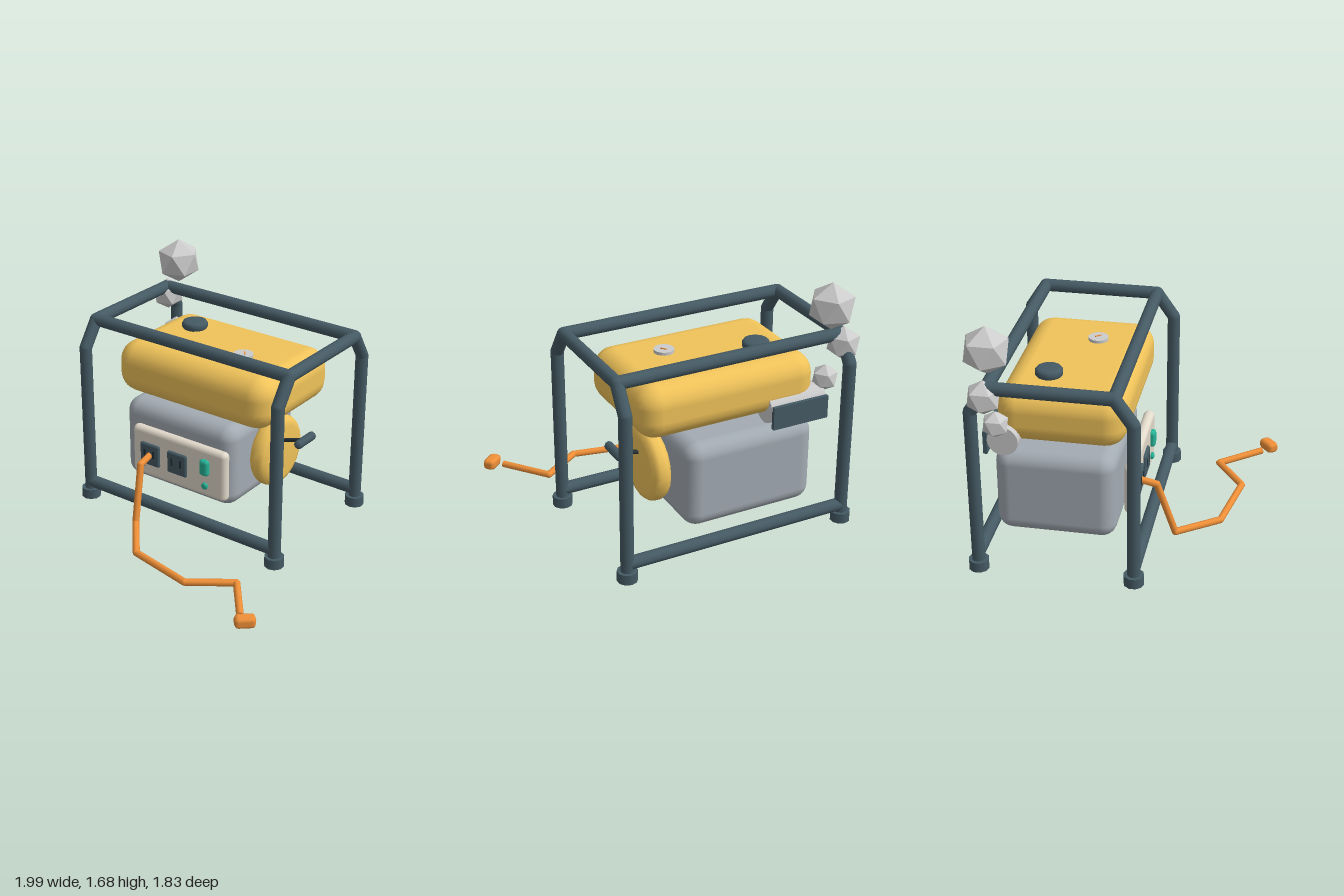
import * as THREE from 'three';
import { RoundedBoxGeometry } from 'three/addons/geometries/RoundedBoxGeometry.js';

const mat = (color, extra = {}) => new THREE.MeshStandardMaterial({ color, ...extra });
const M = {
  frame: mat(0x455a64),
  dark: mat(0x263238),
  yellow: mat(0xf0c35a),
  engine: mat(0xa3abb3),
  metal: mat(0xcccccc),
  panel: mat(0xe2dacb),
  green: mat(0x26b598),
  orange: mat(0xf09038),
  smoke: mat(0xbdbdbd, { flatShading: true }),
};

function add(parent, name, geometry, material, x = 0, y = 0, z = 0) {
  const mesh = new THREE.Mesh(geometry, material);
  mesh.name = name;
  mesh.position.set(x, y, z);
  parent.add(mesh);
  return mesh;
}

function group(parent, name) {
  const g = new THREE.Group();
  g.name = name;
  parent.add(g);
  return g;
}

// Straight pipe runs through the points, with a ball at each inner bend
function pipe(parent, name, points, radius, material, sides = 12) {
  const g = group(parent, name);
  const pts = points.map((p) => new THREE.Vector3(...p));
  for (let i = 0; i < pts.length - 1; i++) {
    const dir = pts[i + 1].clone().sub(pts[i]);
    const mid = pts[i].clone().add(pts[i + 1]).multiplyScalar(0.5);
    const run = add(g, name + 'Run', new THREE.CylinderGeometry(radius, radius, dir.length(), sides), material, mid.x, mid.y, mid.z);
    run.quaternion.setFromUnitVectors(new THREE.Vector3(0, 1, 0), dir.normalize());
    if (i > 0) add(g, name + 'Bend', new THREE.SphereGeometry(radius, sides, 8), material, pts[i].x, pts[i].y, pts[i].z);
  }
  return g;
}

// Disc with softened rims, turned around y
function softDisc(radius, height, bevel, sides) {
  const h = height / 2;
  const half = [
    [radius - bevel * 1.4, h],
    [radius - bevel * 0.45, h - bevel * 0.35],
    [radius, h - bevel],
  ];
  const profile = [
    [0, -h],
    ...half.map(([r, y]) => [r, -y]),
    ...half.slice().reverse(),
    [0, h],
  ].map(([r, y]) => new THREE.Vector2(r, y));
  return new THREE.LatheGeometry(profile, sides);
}

export function createModel() {
  const model = new THREE.Group();
  model.name = 'portableGenerator';

  // Tubular frame: two side hoops, joined by four cross bars, on four feet
  const frame = group(model, 'frame');
  const xs = [-0.89, 0.68];
  const zFront = 0.164, zBack = -0.849, R = 0.043;
  for (const x of xs) {
    pipe(frame, 'sideHoop', [
      [x, 0.02, zFront], [x, 1.145, zFront], [x, 1.315, 0.046],
      [x, 1.315, -0.74], [x, 1.145, zBack], [x, 0.02, zBack],
    ], R, M.frame);
    for (const z of [zFront, zBack]) {
      add(frame, 'foot', new THREE.CylinderGeometry(0.067, 0.067, 0.07, 10), M.frame, x, 0.035, z);
    }
  }
  for (const [y, z] of [[1.315, 0.046], [1.315, -0.74], [0.118, zFront], [0.118, zBack]]) {
    pipe(frame, 'crossBar', [[xs[0], y, z], [xs[1], y, z]], R, M.frame);
  }

  // Fuel tank with filler cap and gauge
  const tank = group(model, 'fuelTank');
  add(tank, 'tankBody', new RoundedBoxGeometry(1.243, 0.366, 0.83, 3, 0.14), M.yellow, -0.107, 1.017, -0.34);
  add(tank, 'fuelCap', softDisc(0.09, 0.065, 0.02, 14), M.frame, -0.43, 1.223, -0.46);
  add(tank, 'fuelGauge', new THREE.CylinderGeometry(0.067, 0.067, 0.03, 16), M.metal, 0.123, 1.205, -0.255);
  const needle = add(tank, 'gaugeNeedle', new THREE.BoxGeometry(0.045, 0.006, 0.008), M.orange, 0.13, 1.222, -0.26);
  needle.rotation.y = -0.9;

  // Engine block
  add(model, 'engineBlock', new RoundedBoxGeometry(0.92, 0.595, 0.785, 3, 0.1), M.engine, -0.245, 0.465, -0.387);

  // Recoil starter on the engine's side, with its pull cord and grip
  const starter = group(model, 'recoilStarter');
  const wheel = add(starter, 'starterCover', softDisc(0.25, 0.138, 0.045, 20), M.yellow, 0.309, 0.508, -0.388);
  wheel.rotation.z = -Math.PI / 2;
  const hub = add(starter, 'starterHub', new THREE.CylinderGeometry(0.1, 0.1, 0.06, 12), M.engine, 0.23, 0.508, -0.388);
  hub.rotation.z = Math.PI / 2;
  pipe(starter, 'pullCord', [[0.375, 0.6, -0.388], [0.54, 0.648, -0.388]], 0.014, M.dark, 6);
  const grip = add(starter, 'pullGrip', softDisc(0.03, 0.21, 0.018, 8), M.frame, 0.542, 0.648, -0.388);
  grip.rotation.x = Math.PI / 2;

  // Control panel: two sockets, a switch and a lamp
  const panel = group(model, 'controlPanel');
  add(panel, 'panelPlate', new RoundedBoxGeometry(0.785, 0.365, 0.075, 2, 0.036), M.panel, -0.153, 0.463, 0.072);
  for (const x of [-0.384, -0.153]) {
    add(panel, 'socket', new RoundedBoxGeometry(0.162, 0.162, 0.04, 2, 0.014), M.frame, x, 0.463, 0.108);
    for (const s of [-1, 1]) {
      add(panel, 'socketSlot', new THREE.BoxGeometry(0.016, 0.056, 0.01), M.dark, x + s * 0.037, 0.473, 0.126);
    }
  }
  add(panel, 'powerSwitch', new RoundedBoxGeometry(0.072, 0.118, 0.05, 2, 0.023), M.green, 0.079, 0.511, 0.117);
  const lamp = add(panel, 'statusLamp', softDisc(0.025, 0.03, 0.01, 8), M.green, 0.079, 0.37, 0.116);
  lamp.rotation.x = Math.PI / 2;

  // Extension cord running from the left socket across the ground
  const cord = group(model, 'extensionCord');
  pipe(cord, 'cord', [
    [-0.384, 0.46, 0.12], [-0.38, 0.435, 0.225], [-0.337, 0.05, 0.345], [-0.11, 0.03, 0.62],
    [0.36, 0.03, 0.712], [0.632, 0.03, 0.52], [0.86, 0.03, 0.805],
  ], 0.024, M.orange, 8);
  const plug = add(cord, 'cordEnd', new RoundedBoxGeometry(0.135, 0.076, 0.085, 1, 0.026), M.orange, 0.928, 0.042, 0.85);
  plug.rotation.y = 0.72;

  // Muffler and its heat shield at the back
  const exhaust = group(model, 'exhaust');
  const muffler = add(exhaust, 'muffler', new THREE.CylinderGeometry(0.1, 0.1, 0.4, 20), M.metal, -0.568, 0.882, -0.69);
  muffler.rotation.z = Math.PI / 2;
  add(exhaust, 'heatShield', new THREE.BoxGeometry(0.4, 0.155, 0.025), M.frame, -0.565, 0.857, -0.805);

  // Faceted smoke puffs, one vertex pointing up
  const smoke = group(model, 'smoke');
  for (const [x, y, z, r] of [[-0.795, 1.018, -0.72, 0.09], [-0.895, 1.255, -0.757, 0.115], [-0.795, 1.525, -0.755, 0.158]]) {
    const puff = add(smoke, 'smokePuff', new THREE.IcosahedronGeometry(r, 0), M.smoke, x, y, z);
    puff.rotation.z = -Math.atan(2 / (1 + Math.sqrt(5)));
  }

  return model;
}
